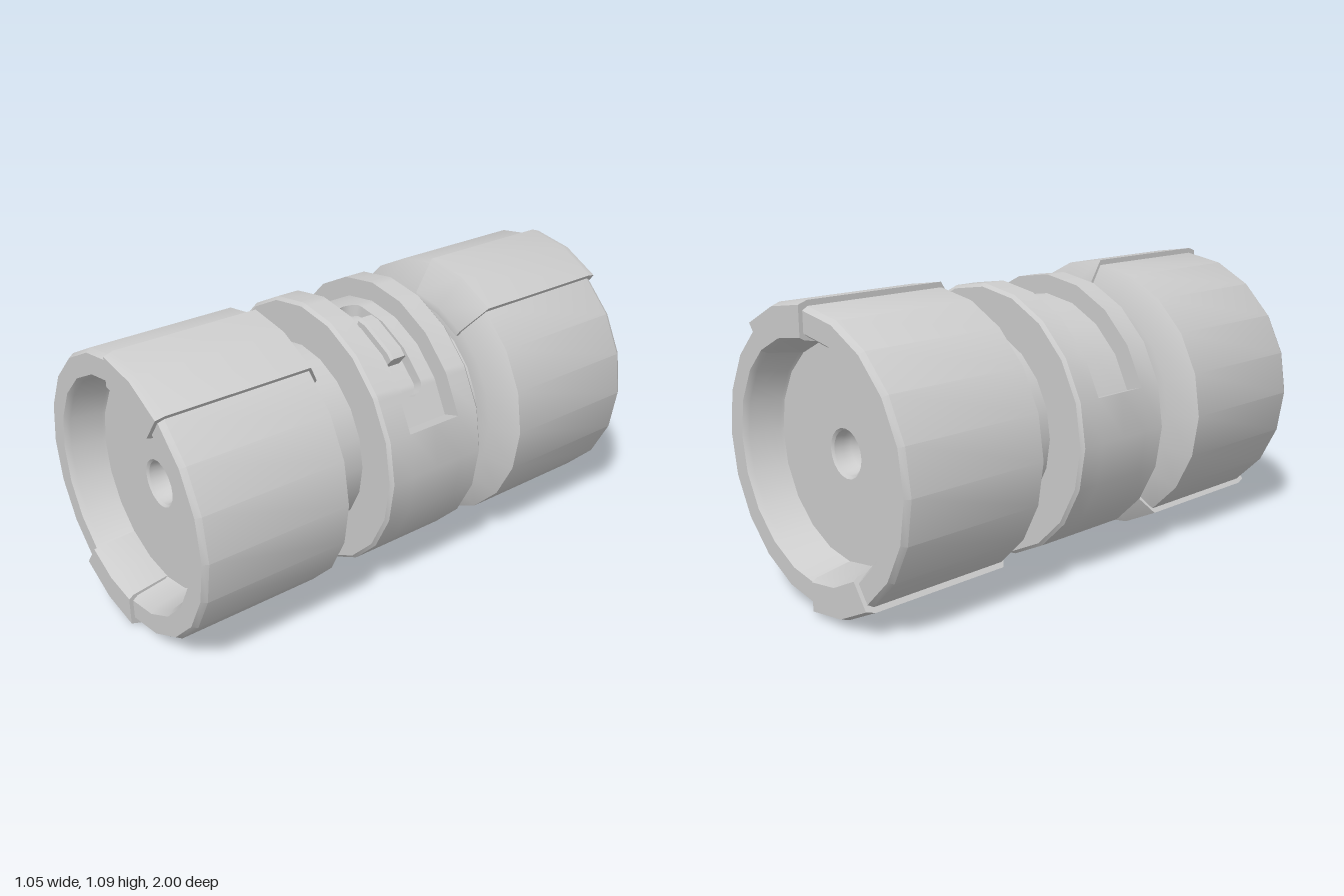
import * as THREE from 'three';
import { toCreasedNormals } from 'three/addons/utils/BufferGeometryUtils.js';

const STEP = 18; // twenty-sided body
const CENTRE_Y = 0.545;
const material = new THREE.MeshStandardMaterial({ color: 0xcccccc });

// Point at an angle (degrees) on the twenty-sided outline of corner radius r
function pointAt(r, deg, z) {
  const off = ((deg % STEP) + STEP) % STEP - STEP / 2;
  const rad = THREE.MathUtils.degToRad;
  const k = r * Math.cos(rad(STEP / 2)) / Math.cos(rad(off));
  return new THREE.Vector3(k * Math.cos(rad(deg)), k * Math.sin(rad(deg)), z);
}

// Skin a list of [angle, profile] sections; profiles are [radius, z] points
function loft(name, sections, { closed = false, ends = false } = {}) {
  const pos = [];
  const tri = (a, b, c) => {
    const area = b.clone().sub(a).cross(c.clone().sub(a)).length();
    if (area > 1e-8) for (const p of [a, b, c]) pos.push(p.x, p.y, p.z);
  };
  const rows = sections.map(([a, prof]) => prof.map(([r, z]) => pointAt(r, a, z)));
  const n = rows[0].length;
  for (let j = 0; j + 1 < rows.length; j++) {
    for (let i = 0; i < (closed ? n : n - 1); i++) {
      const k = (i + 1) % n, A = rows[j], B = rows[j + 1];
      tri(A[i], B[i], B[k]);
      tri(A[i], B[k], A[k]);
    }
  }
  if (ends) {
    for (const [row, flip] of [[rows[0], false], [rows[rows.length - 1], true]]) {
      const mid = row.reduce((s, p) => s.add(p), new THREE.Vector3()).divideScalar(n);
      row.forEach((p, i) => {
        const q = row[(i + 1) % n];
        flip ? tri(mid, q, p) : tri(mid, p, q);
      });
    }
  }
  const geo = new THREE.BufferGeometry();
  geo.setAttribute('position', new THREE.Float32BufferAttribute(pos, 3));
  const mesh = new THREE.Mesh(toCreasedNormals(geo, 0.6), material);
  mesh.name = name;
  return mesh;
}

const range = (a, b, step) => Array.from({ length: Math.round((b - a) / step) + 1 }, (_, i) => a + i * step);
const revolve = (name, prof, angles, opts) => loft(name, angles.map(a => [a, prof]), opts);
const mirrorZ = prof => prof.map(([r, z]) => [r, -z]).reverse();
const FULL = range(0, 360, STEP);

// Middle collar, with a slot over its top and a rounded track sunk in the slot floor
function createCollar() {
  const start = 31, end = 94, round = 6.4;
  const section = (a, inSlot) => {
    const floor = inSlot ? 0.445 : 0.518;
    const inTrack = inSlot && a >= start && a <= end;
    const t = inTrack ? Math.min(1, Math.min(a - start, end - a) / round) : 0;
    const w = 0.05 * Math.sqrt(1 - (1 - t) ** 2);
    const depth = inTrack ? 0.4 : floor;
    const half = [[depth, w], [floor, w], [floor, 0.113], [0.518, 0.113], [0.518, 0.203], [0.506, 0.215], [0.34, 0.215]];
    return [a, [...mirrorZ(half), ...half]];
  };
  const slotAngles = [...range(18, 162, STEP), start, 32, 34, 37.4, 87.6, 91, 93, end].sort((a, b) => a - b);
  return loft('slottedCollar', [
    section(0, false), section(18, false),
    ...slotAngles.map(a => section(a, true)),
    ...range(162, 360, STEP).map(a => section(a, false)),
  ]);
}

export function createModel() {
  const model = new THREE.Group();
  model.name = 'cylinderDevice';
  const body = new THREE.Group();
  body.name = 'body';
  body.position.y = CENTRE_Y;
  model.add(body);

  // Narrow core joining both ends
  body.add(revolve('core', [[0.355, -0.37], [0.355, 0.37]], FULL));
  body.add(createCollar());

  // Sliding switch nub in the track
  body.add(revolve('switchNub',
    [[0.395, -0.034], [0.452, -0.034], [0.462, -0.026], [0.462, 0.026], [0.452, 0.034], [0.395, 0.034]],
    [50, 54, 72, 77], { closed: true, ends: true }));

  // End drum: tapered shoulder, rim, recessed face and central dimple
  const drum = [
    [0.34, 0.348], [0.42, 0.348], [0.525, 0.41], [0.525, 0.965], [0.512, 0.985],
    [0.437, 0.985], [0.422, 0.965], [0.402, 0.85], [0.395, 0.84],
    [0.09, 0.84], [0.081, 0.832], [0.076, 0.8], [0.065, 0.775], [0.04, 0.757], [0, 0.75],
  ];
  // Raised panel wrapping over the drum from shoulder to rim
  const panel = [
    [0.395, 0.335], [0.425, 0.335], [0.545, 0.41], [0.545, 0.965], [0.533, 1],
    [0.425, 1], [0.413, 0.98], [0.393, 0.85],
  ];
  for (const [side, shape] of [['front', p => p], ['back', mirrorZ]]) {
    body.add(revolve(side + 'Drum', shape(drum), FULL));
    body.add(revolve(side + 'TopPanel', shape(panel), range(54, 90, STEP), { closed: true, ends: true }));
    body.add(revolve(side + 'BottomPanel', shape(panel), range(234, 270, STEP), { closed: true, ends: true }));
  }
  return model;
}
